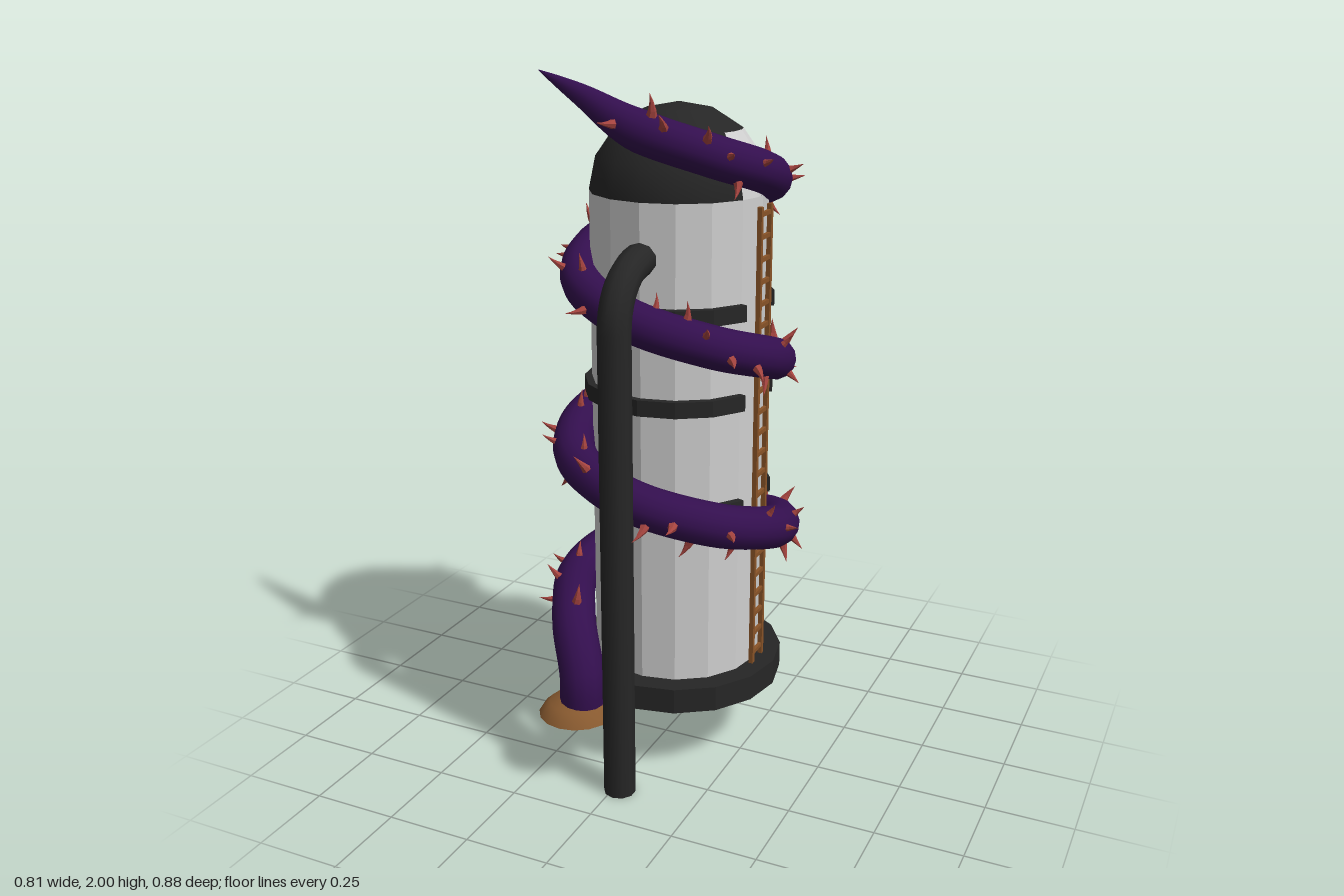
import * as THREE from 'three';

const CX = 0.02, CZ = -0.045, R = 0.25;   // silo axis and radius
const WALL_BOTTOM = 0.29, WALL_TOP = 1.68;

const mat = (name, color, side = THREE.FrontSide) => {
  const m = new THREE.MeshStandardMaterial({ color, side });
  m.name = name;
  return m;
};

// Facet a geometry so each face has its own normal
function faceted(geo) {
  const g = geo.toNonIndexed();
  g.computeVertexNormals();
  return g;
}

// Small seeded random generator
function seeded(seed) {
  return () => (seed = (seed * 16807) % 2147483647) / 2147483647;
}

// Rising spiral: [radius, height] for every quarter turn, starting at the left side
function tentaclePath() {
  const stations = [
    [0.31, 0.49], [0.315, 0.6], [0.31, 0.725], [0.315, 0.87],
    [0.29, 0.99], [0.285, 1.1], [0.29, 1.23], [0.285, 1.37],
    [0.26, 1.5], [0.255, 1.62], [0.27, 1.74], [0.25, 1.87],
  ];
  const pts = [
    new THREE.Vector3(-0.12, 0.197, 0.32),
    new THREE.Vector3(-0.12, 0.32, 0.315),
    new THREE.Vector3(-0.19, 0.45, 0.23),
  ];
  for (let i = 0; i <= (stations.length - 1) * 2; i++) {
    const a = stations[Math.floor(i / 2)], b = stations[Math.ceil(i / 2)];
    const r = (a[0] + b[0]) / 2, y = (a[1] + b[1]) / 2;
    const t = Math.PI / 2 + i * Math.PI / 4;
    pts.push(new THREE.Vector3(0.01 - r * Math.sin(t), y, -0.045 + r * Math.cos(t)));
  }
  pts.push(new THREE.Vector3(-0.17, 1.945, 0.16), new THREE.Vector3(-0.335, 2.0, 0.095));
  return new THREE.CatmullRomCurve3(pts);
}

function tentacleRadius(u) {
  const r = THREE.MathUtils.lerp(0.065, 0.056, u);
  return u < 0.935 ? r : Math.max(0.001, r * Math.pow((1 - u) / 0.065, 0.85));
}

// Tube with a radius that changes along its length
function taperedTube(path, rings, sides, radiusAt) {
  const geo = new THREE.TubeGeometry(path, rings, 1, sides);
  const pos = geo.attributes.position, v = new THREE.Vector3();
  for (let i = 0; i <= rings; i++) {
    const c = path.getPointAt(i / rings), r = radiusAt(i / rings);
    for (let j = 0; j <= sides; j++) {
      const k = i * (sides + 1) + j;
      v.fromBufferAttribute(pos, k).sub(c).multiplyScalar(r).add(c);
      pos.setXYZ(k, v.x, v.y, v.z);
    }
  }
  return geo;
}

// Thorn: a small cone whose tip bends to one side
function thornGeometry() {
  const geo = new THREE.ConeGeometry(0.015, 0.06, 6, 3);
  geo.translate(0, 0.03, 0);
  const pos = geo.attributes.position;
  for (let i = 0; i < pos.count; i++) {
    const h = pos.getY(i) / 0.06;
    pos.setX(i, pos.getX(i) + 0.018 * h * h);
  }
  return faceted(geo);
}

export function createModel() {
  const wall = mat('pale grey wall', 0xcfcfcf);
  const dark = mat('charcoal', 0x262626);
  const purple = mat('deep purple', 0x330f4e, THREE.DoubleSide);
  const red = mat('thorn red', 0xa5443f);
  const wood = mat('ladder brown', 0x8a5428);
  const soil = mat('soil brown', 0x87592f);
  const under = mat('maroon', 0x692a26);

  const model = new THREE.Group();
  const add = (name, geo, material, x = 0, y = 0, z = 0, parent = model) => {
    const m = new THREE.Mesh(geo, material);
    m.name = name;
    m.position.set(x, y, z);
    parent.add(m);
    return m;
  };

  // Silo body and base
  add('wall', faceted(new THREE.CylinderGeometry(R, R, WALL_TOP - WALL_BOTTOM, 16, 1, true)),
    wall, CX, (WALL_TOP + WALL_BOTTOM) / 2, CZ);
  add('base', faceted(new THREE.CylinderGeometry(0.313, 0.313, 0.075, 16)), dark, CX, 0.2575, CZ);

  // Domed roof with a pale hatch above the ladder
  const P = Math.PI;
  const dome = (name, m, p0, pl, segs, t0, tl, rows, flat) => {
    const g = new THREE.SphereGeometry(R, segs, rows, p0, pl, t0, tl);
    add(name, flat ? faceted(g) : g, m, CX, WALL_TOP, CZ).scale.y = 0.96;
  };
  dome('roof', dark, P * 9 / 8, P * 7 / 4, 14, 0, P / 2, 4);
  dome('roofCrown', dark, P * 7 / 8, P / 4, 2, 0, P / 4, 2);
  dome('roofHatch', wall, P * 7 / 8, P / 4, 2, P / 4, P / 4, 2, true);

  // Hoops, left open where the ladder passes
  const hoopShape = new THREE.Shape();
  for (let i = 0; i <= 14; i++) {
    const a = P / 8 + i * P / 8;
    hoopShape[i ? 'lineTo' : 'moveTo'](0.271 * Math.cos(a), 0.271 * Math.sin(a));
  }
  for (let i = 14; i >= 0; i--) {
    const a = P / 8 + i * P / 8;
    hoopShape.lineTo(0.247 * Math.cos(a), 0.247 * Math.sin(a));
  }
  const hoop = new THREE.ExtrudeGeometry(hoopShape, { depth: 0.046, bevelEnabled: false });
  hoop.translate(0, 0, -0.023).rotateX(-P / 2);
  for (const y of [0.812, 1.122, 1.376]) add('hoop', hoop, dark, CX, y, CZ);

  // Ladder
  const ladder = new THREE.Group();
  ladder.name = 'ladder';
  model.add(ladder);
  for (const s of [-1, 1]) {
    add('ladderRail', new THREE.BoxGeometry(0.013, 1.36, 0.014), wood, 0.278, 0.975, -0.044 + s * 0.036, ladder);
  }
  for (let i = 0; i < 22; i++) {
    add('rung', new THREE.BoxGeometry(0.01, 0.012, 0.072), wood, 0.278, 0.325 + i * 0.0623, -0.044, ladder);
  }

  // Feed pipe: straight up, then a quarter bend into the wall
  const pipe = new THREE.CurvePath();
  const V = (y, z) => new THREE.Vector3(CX, y, z);
  pipe.add(new THREE.LineCurve3(V(0, 0.357), V(1.36, 0.357)));
  pipe.add(new THREE.CubicBezierCurve3(V(1.36, 0.357), V(1.46, 0.357), V(1.53, 0.29), V(1.53, 0.18)));
  add('pipe', new THREE.TubeGeometry(pipe, 60, 0.046, 10), dark);
  add('pipeFoot', new THREE.CircleGeometry(0.046, 10).rotateX(P / 2), dark, CX, 0.001, 0.357);

  // Mound of earth around the tentacle root
  const mound = new THREE.LatheGeometry(
    [[0.112, 0], [0.1, 0.018], [0.08, 0.036], [0.05, 0.046]].map(p => new THREE.Vector2(...p)), 16);
  add('mound', mound, soil, -0.133, 0.204, 0.322);
  add('moundUnderside', new THREE.CircleGeometry(0.112, 16).rotateX(P / 2), under, -0.133, 0.204, 0.322);

  // Tentacle
  const path = tentaclePath();
  add('tentacle', taperedTube(path, 240, 14, tentacleRadius), purple);
  add('tentacleRoot', new THREE.CircleGeometry(0.06, 14).rotateX(P / 2), under, -0.12, 0.198, 0.32);

  // Thorns scattered over the outward side of the tentacle
  const rand = seeded(4211);
  const thorn = thornGeometry();
  const basis = new THREE.Matrix4();
  const COUNT = 84;
  for (let i = 0; i < COUNT; i++) {
    const u = 0.05 + 0.9 * (i + rand() * 0.7) / COUNT;
    const p = path.getPointAt(u), t = path.getTangentAt(u);
    const out = new THREE.Vector3(p.x - 0.01, 0, p.z + 0.045);
    out.addScaledVector(t, -out.dot(t)).normalize();
    const up = new THREE.Vector3().crossVectors(t, out);
    const a = (rand() * 2 - 1) * 1.9;
    const dir = out.multiplyScalar(Math.cos(a)).addScaledVector(up, Math.sin(a));
    const side = new THREE.Vector3().crossVectors(t, dir);
    const m = add('thorn', thorn, red);
    m.quaternion.setFromRotationMatrix(basis.makeBasis(t, dir, side));
    m.position.copy(p).addScaledVector(dir, tentacleRadius(u) - 0.008);
    m.scale.setScalar(0.75 + rand() * 0.35);
  }
  return model;
}
